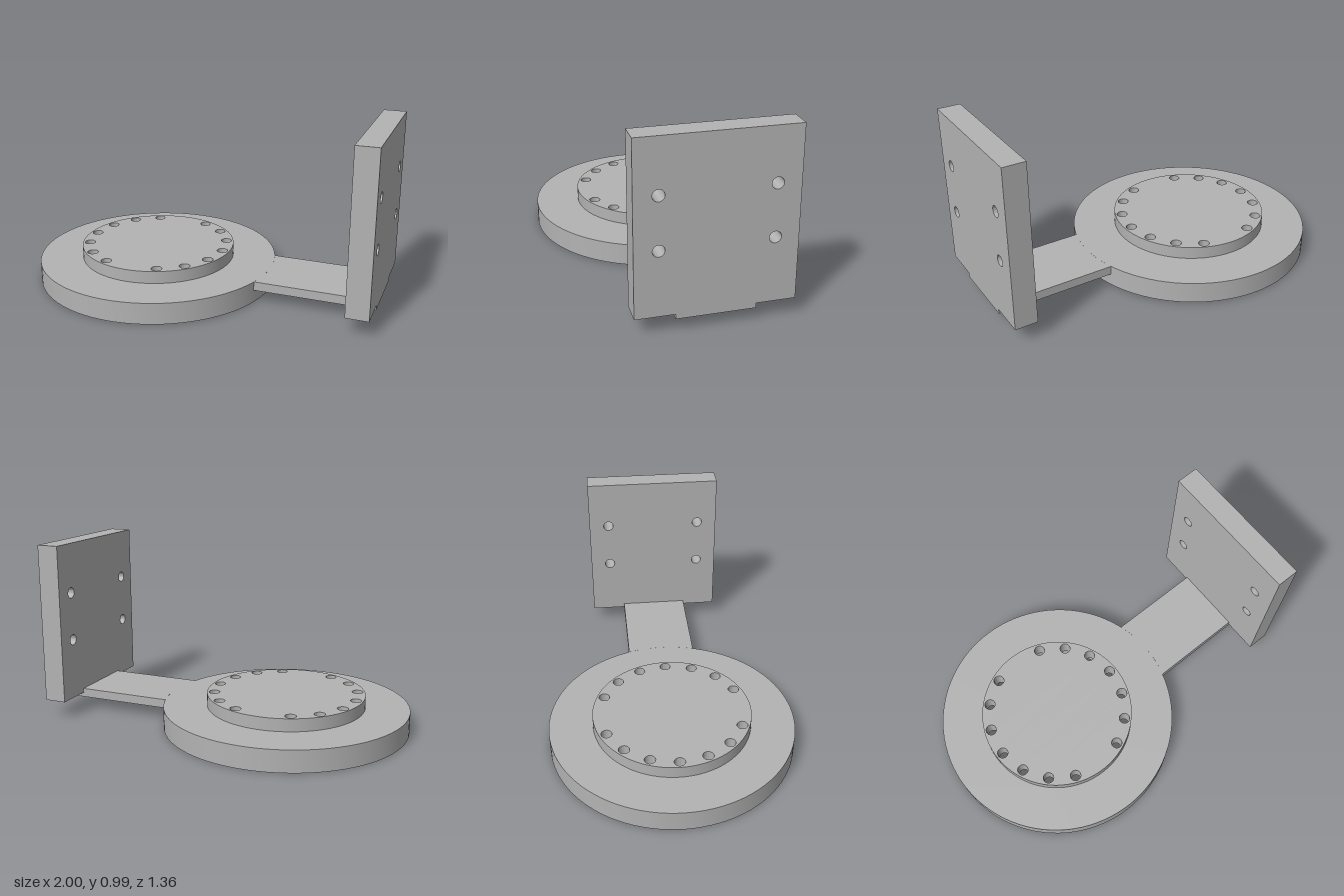
import * as THREE from 'three';
import { toCreasedNormals } from 'three/addons/utils/BufferGeometryUtils.js';

const CX = -0.318;      // centre of the round base
const RING_R = 0.682;
const DISC_R = 0.439;
const HOLE_R = 0.03;

const circle = (Type, x, y, r) => new Type().absarc(x, y, r, 0, Math.PI * 2, false);

// Extrude with smooth curved walls and sharp rims
function extrude(shape, depth, curveSegments = 48) {
  const geo = new THREE.ExtrudeGeometry(shape, { depth, bevelEnabled: false, curveSegments });
  return toCreasedNormals(geo, 0.6);
}

export function createModel() {
  const group = new THREE.Group();
  const grey = new THREE.MeshStandardMaterial({ color: 0xb3b3b3 });
  grey.name = 'grey';

  const add = (name, geo) => {
    const mesh = new THREE.Mesh(geo, grey);
    mesh.name = name;
    group.add(mesh);
    return mesh;
  };
  // Plan outline lifted from y0 to y1
  const slab = (name, shape, y0, y1) => {
    const geo = extrude(shape, y1 - y0);
    geo.rotateX(-Math.PI / 2);
    geo.translate(0, y0, 0);
    return add(name, geo);
  };

  // Outer ring, open underneath the raised disc
  const ring = circle(THREE.Shape, CX, 0, RING_R);
  ring.holes.push(circle(THREE.Path, CX, 0, DISC_R));
  slab('baseRing', ring, 0, 0.12);

  // Raised disc with bolt holes at every 22.5 degrees, skipping the front and back
  const disc = circle(THREE.Shape, CX, 0, DISC_R);
  for (let i = 0; i < 16; i++) {
    if (i % 8 === 4) continue;
    const a = (i * Math.PI) / 8;
    disc.holes.push(circle(THREE.Path, CX + 0.398 * Math.cos(a), 0.398 * Math.sin(a), HOLE_R));
  }
  slab('boltDisc', disc, 0.07, 0.19);

  // Arm whose inner end follows the ring
  const armHalf = 0.198;
  const armAngle = Math.asin(armHalf / RING_R);
  const arm = new THREE.Shape();
  arm.moveTo(0.876, -armHalf);
  arm.lineTo(0.876, armHalf);
  arm.lineTo(CX + RING_R * Math.cos(armAngle), armHalf);
  arm.absarc(CX, 0, RING_R, armAngle, -armAngle, true);
  arm.closePath();
  slab('arm', arm, 0.07, 0.12);

  // Tab of the arm running under the upright plate
  const tab = new THREE.BoxGeometry(0.124, 0.026, armHalf * 2);
  tab.translate(0.938, 0.083, 0);
  add('armTab', tab);

  // Upright mounting plate with four holes
  const plate = new THREE.Shape();
  plate.moveTo(-0.398, 0.096);
  plate.lineTo(0.398, 0.096);
  plate.lineTo(0.398, 0.99);
  plate.lineTo(-0.398, 0.99);
  plate.closePath();
  for (const z of [-0.28, 0.28]) {
    for (const y of [0.437, 0.71]) plate.holes.push(circle(THREE.Path, z, y, HOLE_R));
  }
  const plateGeo = extrude(plate, 0.124, 24);
  plateGeo.rotateY(Math.PI / 2);
  plateGeo.translate(0.876, 0, 0);
  add('mountingPlate', plateGeo);

  return group;
}
